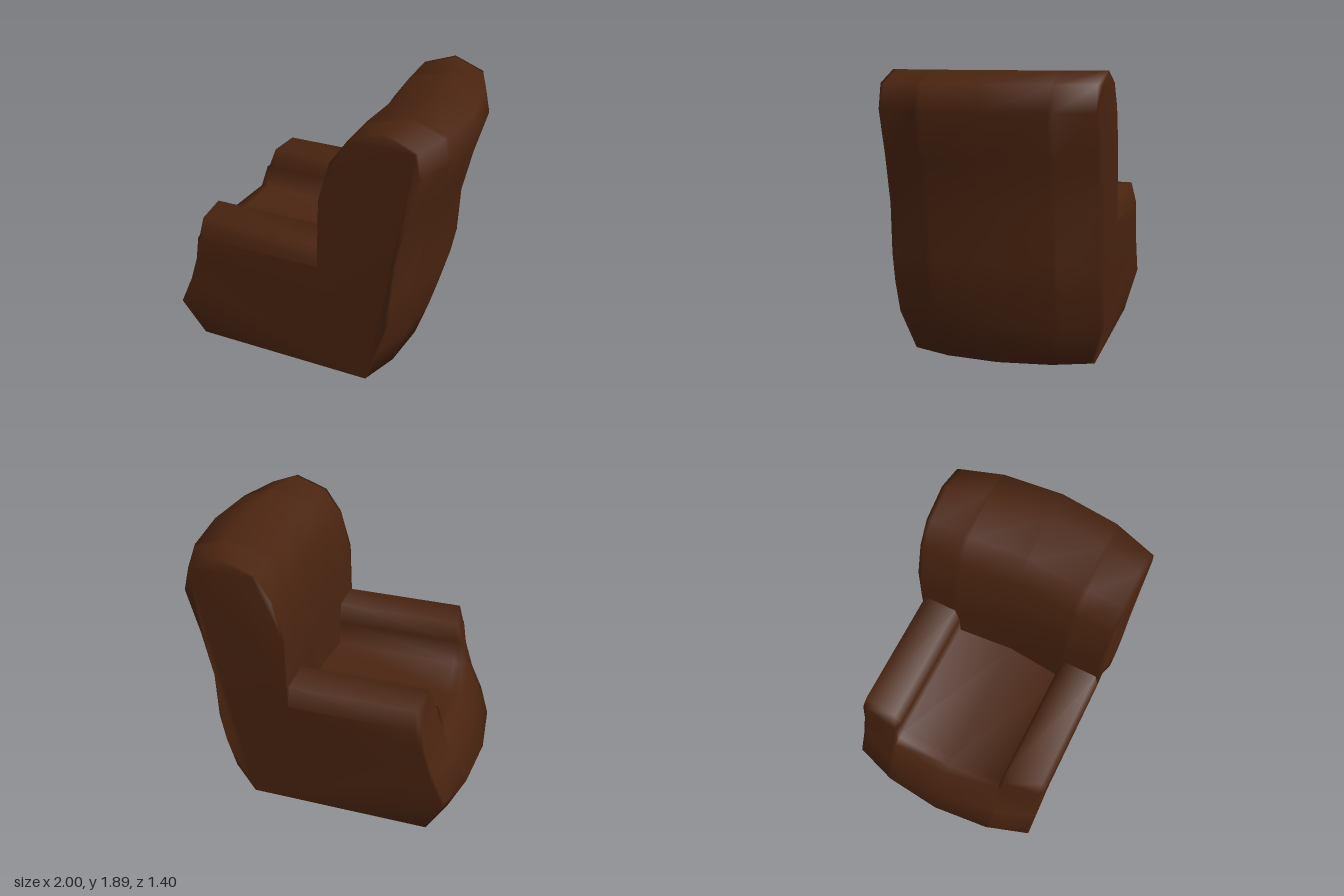
import * as THREE from 'three';
import { mergeVertices } from 'three/addons/utils/BufferGeometryUtils.js';

// Side profile, clockwise from the front foot: [x, y, share of the bulge].
const FRONT = [[-0.88, 0, 1], [-1, 0.3, 1], [-0.91, 0.5, 1], [-0.82, 0.7, 0.8], [-0.75, 0.88, 0.5], [-0.685, 1.025, 0.3]];
const BACK_FACE = [[0.24, 1.025], [0.25, 1.38], [0.325, 1.65], [0.435, 1.81]];
const REAR = [[0.73, 1.89, 0.8], [0.96, 1.81, 1], [1, 1.65, 1], [0.92, 1.35, 1], [0.855, 1.03, 1],
  [0.845, 0.7, 1], [0.81, 0.5, 1], [0.75, 0.28, 1], [0.66, 0, 1]];

// Slices across the width: [z, height of the arm or seat there].
const HALF = [[0, 0.7], [0.4, 0.7], [0.4, 0.88], [0.43, 1.025], [0.67, 1.025], [0.7, 0.88]];
const SLICES = [...HALF.slice(1).reverse().map(([z, top]) => [-z, top]), ...HALF];

function slice([z, top]) {
  const a = Math.abs(z);
  const bulge = a < 0.4 ? a * 0.1 : 0.04 + (a - 0.4) / 3;
  const inset = Math.min(a / 0.4, 1) * 0.035;
  const points = [
    ...FRONT.map(([x, y, k]) => [x + bulge * k, Math.min(y, top)]),
    [0.24 - inset, top], // fold where the seat or arm meets the backrest
    ...BACK_FACE.map(([x, y]) => [x - inset, y]),
    ...REAR.map(([x, y, k]) => [x - bulge * k, y]),
  ];
  // The foot tapers in below y = 0.3.
  return points.map(([x, y]) => new THREE.Vector3(x, y, z * (0.885 + 0.115 * Math.min(y / 0.3, 1))));
}

function upholsteryGeometry() {
  const rings = SLICES.map(slice);
  const n = rings[0].length;
  const fold = FRONT.length;
  const positions = [];
  const seam = [];
  const tri = (points, marks = [0, 0, 0]) => points.forEach((p, i) => {
    positions.push(p.x, p.y, p.z);
    seam.push(marks[i]);
  });

  // Skin between neighbouring slices, with a hard seam along the fold
  for (let j = 0; j < rings.length - 1; j++) {
    for (let i = 0; i < n; i++) {
      const k = (i + 1) % n;
      const a = rings[j][i], b = rings[j][k], c = rings[j + 1][k], d = rings[j + 1][i];
      const m = k === fold ? 1 : 0;
      tri([a, d, c], [0, 0, m]);
      tri([a, c, b], [0, m, m]);
    }
  }

  // Flat outer sides
  for (const [ring, side] of [[rings[0], -1], [rings[rings.length - 1], 1]]) {
    const outline = ring.map((p) => new THREE.Vector2(p.x, p.y));
    for (const [i, j, k] of THREE.ShapeUtils.triangulateShape(outline, [])) {
      const area = THREE.ShapeUtils.area([outline[i], outline[j], outline[k]]);
      tri((area * side > 0 ? [i, j, k] : [i, k, j]).map((v) => ring[v]));
    }
  }

  const raw = new THREE.BufferGeometry();
  raw.setAttribute('position', new THREE.Float32BufferAttribute(positions, 3));
  raw.setAttribute('seam', new THREE.Float32BufferAttribute(seam, 1));
  const geometry = mergeVertices(raw, 1e-4);
  geometry.deleteAttribute('seam');
  geometry.computeVertexNormals();
  return geometry;
}

export function createModel() {
  const group = new THREE.Group();
  group.name = 'armchair';
  const leather = new THREE.MeshStandardMaterial({ color: 0x4a2410 });
  leather.name = 'brown leather';
  const body = new THREE.Mesh(upholsteryGeometry(), leather);
  body.name = 'upholsteredSeatArmsAndBack';
  group.add(body);
  return group;
}
